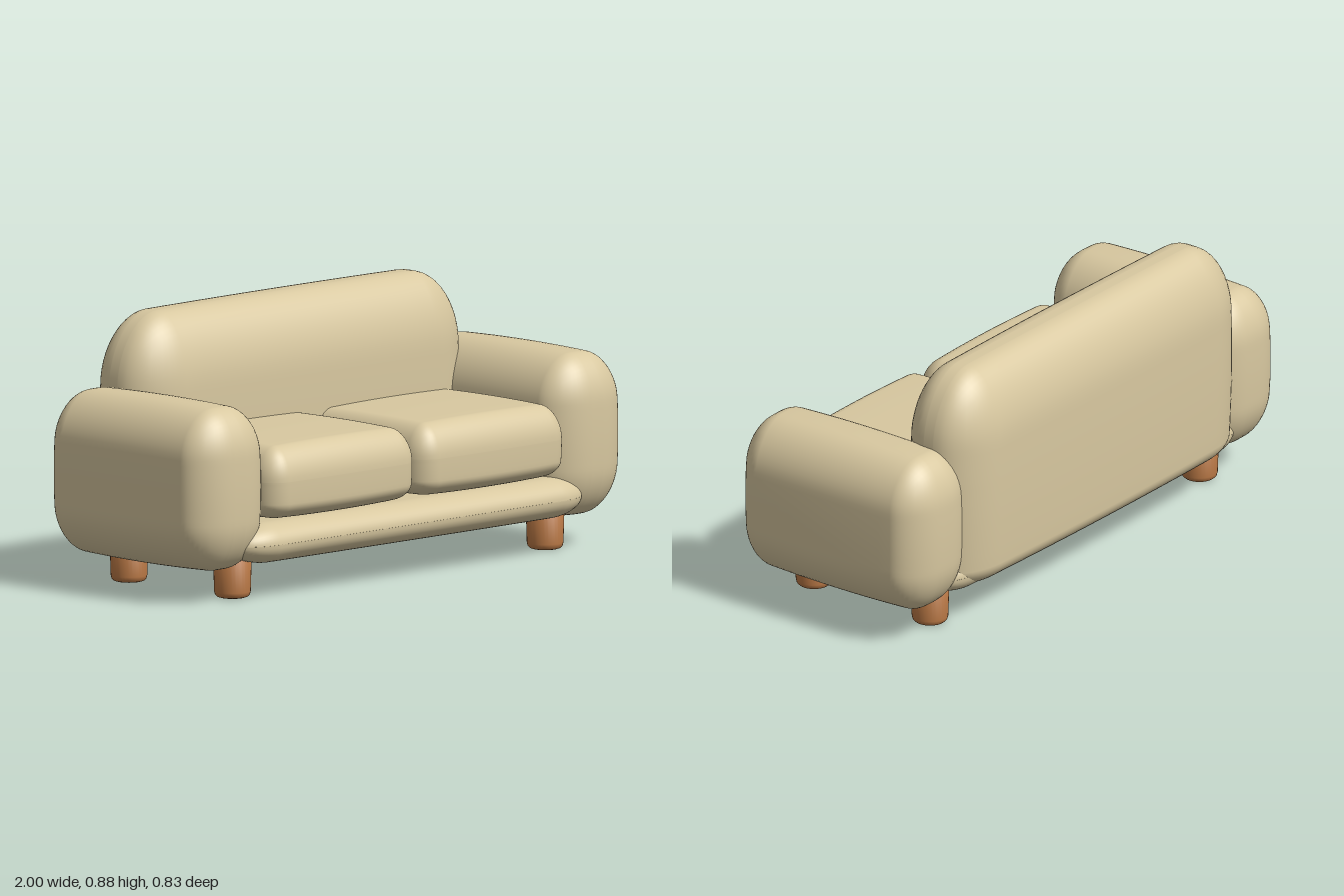
import * as THREE from 'three';
import { mergeVertices } from 'three/addons/utils/BufferGeometryUtils.js';

// Upholstered block: a box with elliptical edges (radius per axis, separate
// radii for upper and lower edges) whose faces swell towards their middles.
function cushionGeometry(min, max, rx, ryTop, ryBottom, rz, bulge) {
  const lo = new THREE.Vector3(...min), hi = new THREE.Vector3(...max);
  const centre = lo.clone().add(hi).multiplyScalar(0.5);
  const half = hi.clone().sub(lo).multiplyScalar(0.5).toArray();

  let geo = new THREE.BoxGeometry(2, 2, 2, 24, 24, 24);
  geo.deleteAttribute('uv');
  geo.deleteAttribute('normal');
  geo = mergeVertices(geo);

  const pos = geo.attributes.position;
  for (let i = 0; i < pos.count; i++) {
    const t = [pos.getX(i), pos.getY(i), pos.getZ(i)];
    const radius = [rx, t[1] > 0 ? ryTop : ryBottom, rz];
    // outer half of each coordinate turns round the edge, inner half spans the face
    const dir = t.map(v => Math.tan(Math.max(0, Math.abs(v) - 0.5) * Math.PI / 2));
    const len = Math.hypot(...dir);
    const p = t.map((v, k) => Math.sign(v) *
      (Math.min(1, Math.abs(v) * 2) * (half[k] - radius[k]) + radius[k] * dir[k] / len));
    const u = p.map((v, k) => (v / half[k]) ** 2);
    const sum = u[0] + u[1] + u[2];
    const q = p.map((v, k) => v * (1 - bulge[k] * (sum - u[k])));
    pos.setXYZ(i, q[0] + centre.x, q[1] + centre.y, q[2] + centre.z);
  }
  geo.computeVertexNormals();
  return geo;
}

export function createModel() {
  const sofa = new THREE.Group();
  sofa.name = 'sofa';

  const fabric = new THREE.MeshStandardMaterial({ color: 0xd8c8a0 });
  fabric.name = 'beige fabric';
  const wood = new THREE.MeshStandardMaterial({ color: 0xb97845 });
  wood.name = 'warm wood';

  const add = (name, geometry, material) => {
    const mesh = new THREE.Mesh(geometry, material);
    mesh.name = name;
    sofa.add(mesh);
    return mesh;
  };

  // Low base with a rounded front lip
  add('seatBase', cushionGeometry([-0.8, 0.115, -0.37], [0.8, 0.25, 0.415],
    0.14, 0.07, 0.065, 0.085, [0.01, 0, 0.01]), fabric);

  // Tall backrest, domed along the top
  add('backrest', cushionGeometry([-0.77, 0.115, -0.415], [0.77, 0.882, -0.09],
    0.18, 0.24, 0.08, 0.14, [0.015, 0.01, 0.06]), fabric);

  // Leg profile: slight taper with a softened foot
  const legProfile = [[0, 0], [0.042, 0], [0.051, 0.003], [0.057, 0.009], [0.06, 0.02],
    [0.064, 0.16], [0, 0.16]].map(([r, y]) => new THREE.Vector2(r, y));
  const legGeometry = new THREE.LatheGeometry(legProfile, 32);

  for (const [side, s] of [['left', 1], ['right', -1]]) {
    const span = (a, b) => (s > 0 ? [a, b] : [-b, -a]);

    // Plump armrest
    const [a0, a1] = span(0.65, 1.0);
    add(side + 'Armrest', cushionGeometry([a0, 0.1, -0.378], [a1, 0.65, 0.396],
      0.145, 0.16, 0.16, 0.1, [0.05, 0.035, 0.035]), fabric);

    // Seat cushion
    const [c0, c1] = span(0.001, 0.69);
    add(side + 'SeatCushion', cushionGeometry([c0, 0.25, -0.25], [c1, 0.506, 0.415],
      0.075, 0.12, 0.055, 0.075, [0.012, 0.05, 0.02]), fabric);

    // Legs
    for (const [place, z] of [['Front', 0.253], ['Back', -0.225]]) {
      add(side + place + 'Leg', legGeometry, wood).position.set(s * 0.722, 0, z);
    }
  }
  return sofa;
}
